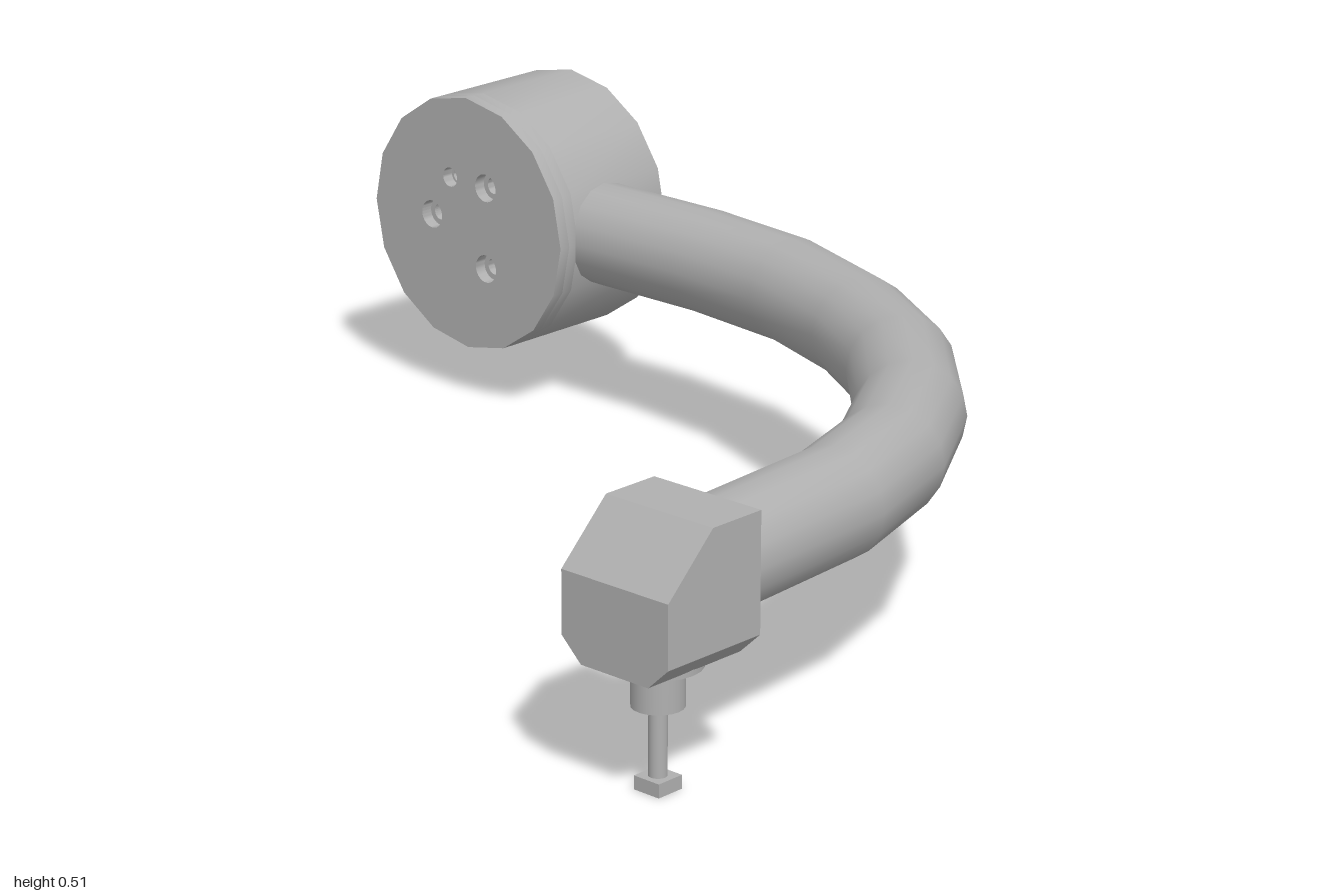
import * as THREE from 'three';
import { toCreasedNormals } from 'three/addons/utils/BufferGeometryUtils.js';
import { ConvexGeometry } from 'three/addons/geometries/ConvexGeometry.js';

const AXIS_Y = 0.297;
const YAW = -THREE.MathUtils.degToRad(35);
const metal = new THREE.MeshStandardMaterial({ color: 0xb0b0b0 });
metal.name = 'grey metal';

function add(parent, name, geometry, x = 0, y = 0, z = 0) {
  const mesh = new THREE.Mesh(geometry, metal);
  mesh.name = name;
  mesh.position.set(x, y, z);
  parent.add(mesh);
  return mesh;
}

// Round 16-sided plate with the bolt holes: [angle in degrees, outer radius, inner radius]
const holes = [[180, 0.023, 0.014], [58, 0.023, 0.014], [-58, 0.023, 0.014], [118, 0.016, 0.012]];
function platedDisc(depth, column) {
  const shape = new THREE.Shape();
  for (let i = 0; i < 16; i++) {
    const a = i * Math.PI / 8;
    shape[i ? 'lineTo' : 'moveTo'](0.21 * Math.cos(a), 0.21 * Math.sin(a));
  }
  shape.closePath();
  for (const h of holes) {
    const a = THREE.MathUtils.degToRad(h[0]);
    const path = new THREE.Path();
    path.absarc(0.08 * Math.cos(a), 0.08 * Math.sin(a), h[column], 0, Math.PI * 2, true);
    shape.holes.push(path);
  }
  const g = new THREE.ExtrudeGeometry(shape, { depth, bevelEnabled: false, curveSegments: 14 });
  return toCreasedNormals(g, 0.6);
}

// Drum housing with stepped rim, raised collar and deep bore at the back
function buildDrum() {
  const drum = new THREE.Group();
  drum.name = 'drum';
  drum.position.set(-0.285, AXIS_Y, -0.78);
  drum.rotation.y = YAW;
  const profile = [
    [0.1, 0.082], [0.1, -0.1], [0.117, -0.1], [0.117, -0.085], [0.19, -0.085],
    [0.19, -0.105], [0.2, -0.105], [0.2, -0.122], [0.21, -0.122], [0.21, 0.082],
  ].map(p => new THREE.Vector2(...p));
  const body = new THREE.LatheGeometry(profile, 16).rotateX(Math.PI / 2);
  add(drum, 'drumHousing', toCreasedNormals(body, 0.6));
  add(drum, 'innerPlate', platedDisc(0.02, 2), 0, 0, 0.082);
  add(drum, 'facePlate', platedDisc(0.02, 1), 0, 0, 0.102);
  return drum;
}

// Curved arm: round rings lofted along a bent centre line
function armGeometry() {
  const path = [
    [-0.18, -0.703], [-0.11, -0.65], [0.055, -0.535], [0.205, -0.4], [0.33, -0.22],
    [0.405, -0.045], [0.438, 0.165], [0.425, 0.365], [0.367, 0.55], [0.225, 0.79], [0.197, 0.83],
  ];
  const sides = 16, r = 0.082, pos = [], index = [];
  path.forEach(([x, z], i) => {
    const a = path[Math.max(i - 1, 0)], b = path[Math.min(i + 1, path.length - 1)];
    const t = new THREE.Vector2(b[0] - a[0], b[1] - a[1]).normalize();
    for (let j = 0; j < sides; j++) {
      const q = j / sides * Math.PI * 2, s = r * Math.cos(q);
      pos.push(x + t.y * s, AXIS_Y + r * Math.sin(q), z - t.x * s);
      if (i === 0) continue;
      const k = (j + 1) % sides, p = (i - 1) * sides, c = i * sides;
      index.push(p + j, p + k, c + j, p + k, c + k, c + j);
    }
  });
  const g = new THREE.BufferGeometry();
  g.setAttribute('position', new THREE.Float32BufferAttribute(pos, 3));
  g.setIndex(index);
  g.computeVertexNormals();
  return g;
}

// End block with a sloped top front and chamfered lower edges, plus the pin below it
function buildHead() {
  const head = new THREE.Group();
  head.name = 'head';
  head.position.set(0.175, 0, 0.87);
  head.rotation.y = YAW;
  const points = [];
  for (const s of [-1, 1]) {
    for (const z of [-0.089, 0.089]) {
      points.push(new THREE.Vector3(s * 0.06, 0.185, z), new THREE.Vector3(s * 0.095, 0.218, z));
    }
    points.push(
      new THREE.Vector3(s * 0.095, 0.31, 0.089),
      new THREE.Vector3(s * 0.095, 0.392, 0.004),
      new THREE.Vector3(s * 0.095, 0.392, -0.089),
    );
  }
  add(head, 'endBlock', new ConvexGeometry(points));
  const rod = (name, r, y0, y1) =>
    add(head, name, new THREE.CylinderGeometry(r, r, y1 - y0, 20), 0, (y0 + y1) / 2, 0.005);
  rod('pinFlange', 0.062, 0.178, 0.187);
  rod('pinSleeve', 0.037, 0.12, 0.18);
  rod('pinRod', 0.013, 0.018, 0.122);
  add(head, 'pinFoot', new THREE.BoxGeometry(0.045, 0.02, 0.045), 0, 0.01, 0.005);
  return head;
}

export function createModel() {
  const model = new THREE.Group();
  model.name = 'curvedArm';
  model.add(buildDrum(), buildHead());
  add(model, 'arm', armGeometry());
  return model;
}
